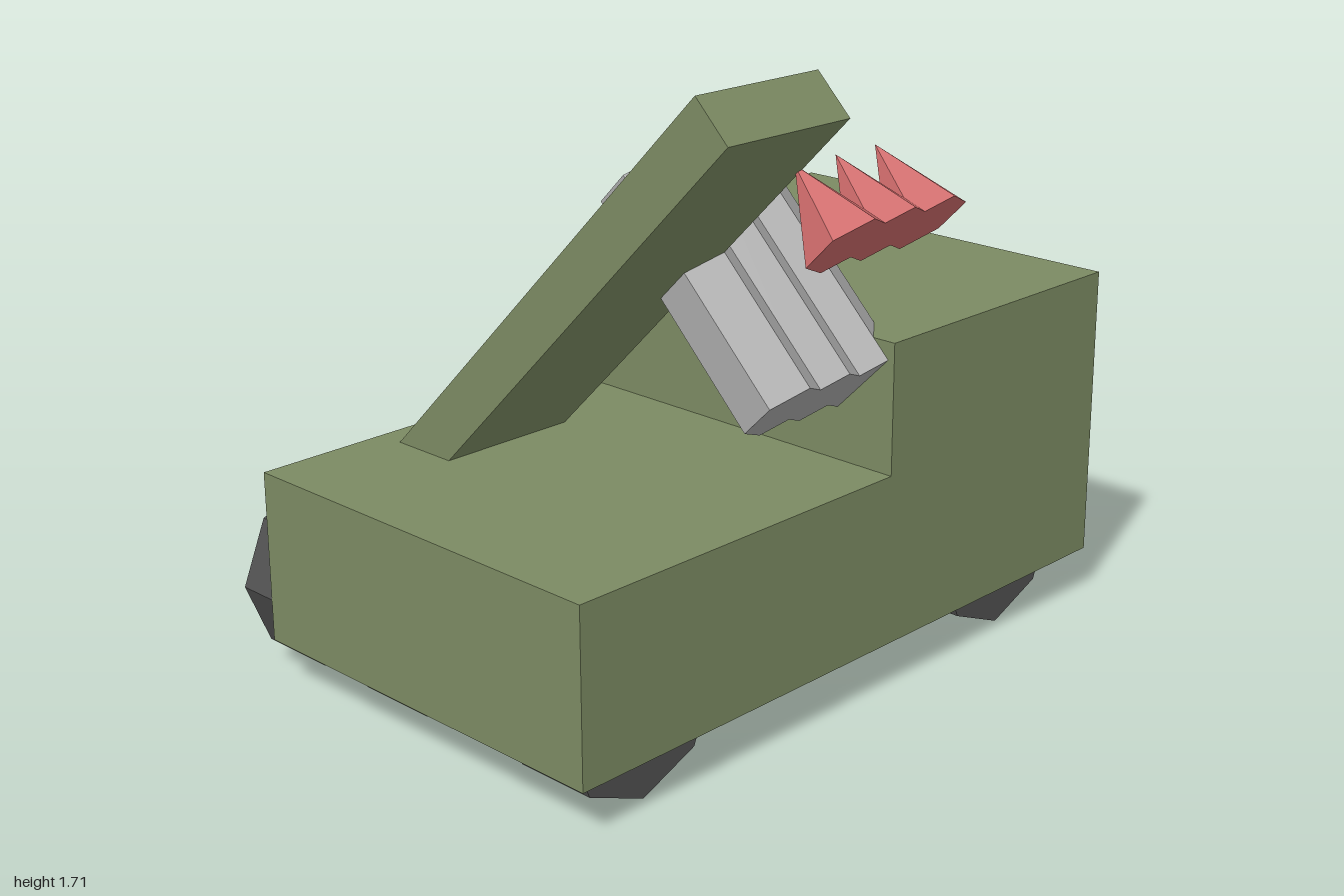
import * as THREE from 'three';

const paint = (color) => new THREE.MeshStandardMaterial({ color, flatShading: true });

export function createModel() {
  const model = new THREE.Group();
  const green = paint(0x7b8a62), dark = paint(0x505050), grey = paint(0xa8a8a8);
  const red = paint(0xcd6a6a), blue = paint(0x73859a);

  const add = (name, geometry, material, x, y, z, rx = 0, parent = model) => {
    const mesh = new THREE.Mesh(geometry, material);
    mesh.name = name;
    mesh.position.set(x, y, z);
    mesh.rotation.x = rx;
    parent.add(mesh);
    return mesh;
  };
  const group = (name) => {
    const g = new THREE.Group();
    g.name = name;
    model.add(g);
    return g;
  };

  // Low bed and tall cab as one stepped hull
  const outline = [[-1, 0.135], [1, 0.135], [1, 0.97], [0.1, 0.97], [0.1, 0.61], [-1, 0.61]];
  const profile = new THREE.Shape(outline.map(([x, y]) => new THREE.Vector2(x, y)));
  add('hull', new THREE.ExtrudeGeometry(profile, { depth: 1.19, bevelEnabled: false }), green, 0, 0, -0.62);
  add('roofBar', new THREE.BoxGeometry(0.9, 0.105, 0.235), green, 0.55, 1.0225, -0.382);
  add('window', new THREE.BoxGeometry(0.65, 0.355, 0.06), blue, 0.545, 0.67, -0.62);

  // Eight-sided wheels, three axles on each end of the hull
  const wheels = group('wheels');
  const wheel = new THREE.CylinderGeometry(0.25, 0.25, 0.237, 8);
  for (const x of [-0.75, 0.655])
    for (const z of [0.396, -0.203, -0.622]) add('wheel', wheel, dark, x, 0.25, z, Math.PI / 2, wheels);

  // Raised arm slanting through the bed
  add('arm', new THREE.BoxGeometry(0.415, 1.796, 0.143), green, -0.407, 1.025, -0.025, Math.PI / 4);

  // Three overlapping hexagonal tubes, with a pointed warhead for each
  const tubes = group('launchTubes'), warheads = group('warheads');
  const tube = new THREE.CylinderGeometry(0.117, 0.117, 0.711, 6);
  const cone = new THREE.ConeGeometry(0.117, 0.24, 6);
  for (const x of [-0.2, -0.05, 0.1]) {
    add('launchTube', tube, grey, x, 1.089, 0.216, -Math.PI / 4, tubes);
    add('warhead', cone, red, x, 1.386, 0.575, -Math.PI / 4, warheads);
  }
  return model;
}
